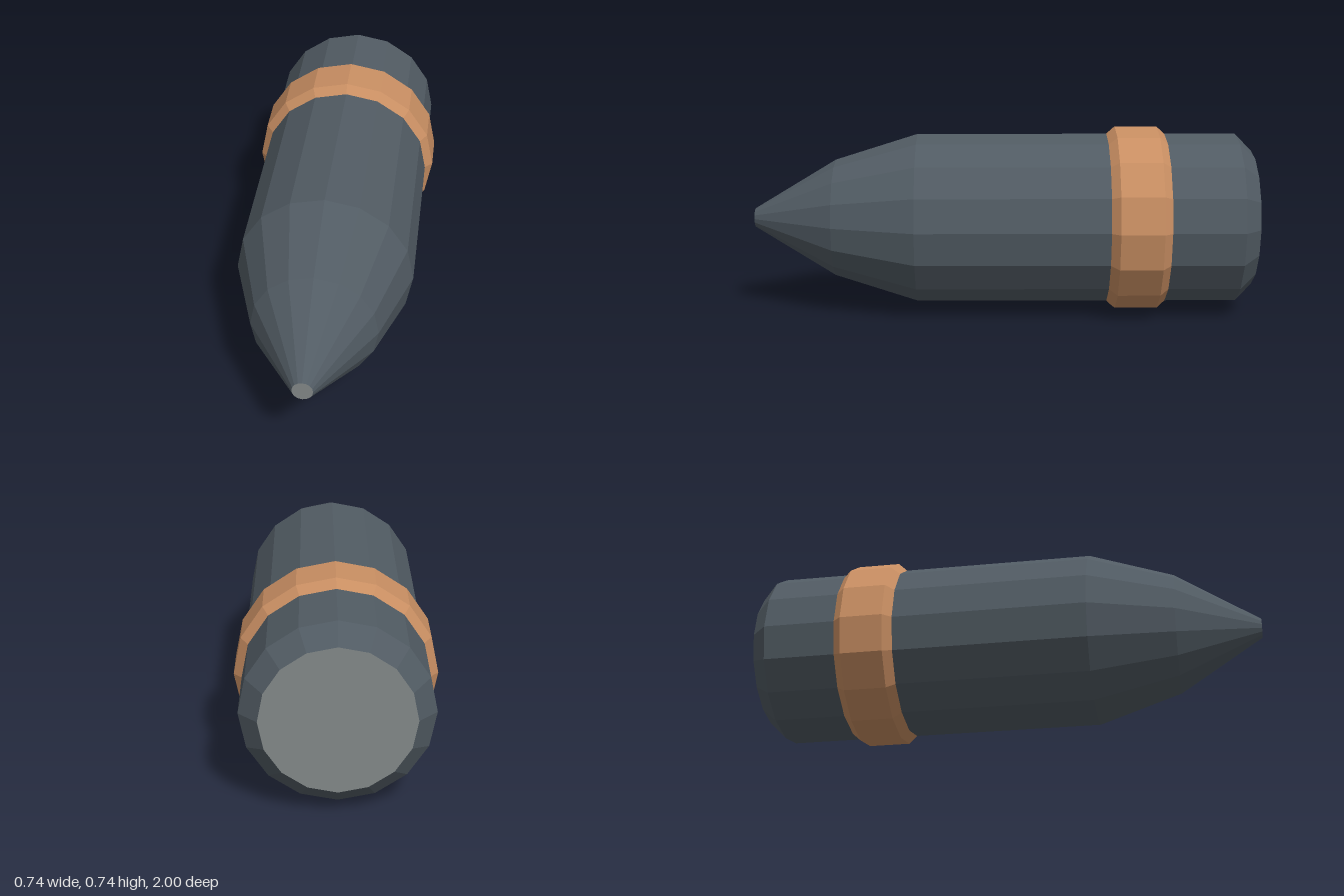
import * as THREE from 'three';

const SIDES = 16;
const AXIS_Y = 0.371;

const material = (name, color) => {
  const m = new THREE.MeshStandardMaterial({ color, flatShading: true });
  m.name = name;
  return m;
};

export function createModel() {
  const steel = material('dark steel', 0x515b63);
  const copper = material('copper', 0xc88e62);
  const grey = material('pale grey', 0x828888);
  const group = new THREE.Group();
  group.name = 'projectile';

  const add = (name, geometry, mat) => {
    const mesh = new THREE.Mesh(geometry, mat);
    mesh.name = name;
    mesh.position.y = AXIS_Y;
    group.add(mesh);
    return mesh;
  };

  // Faceted turned surface along z from [radius, z] pairs, back to front
  const turned = (profile) =>
    new THREE.LatheGeometry(profile.map(([r, z]) => new THREE.Vector2(r, z)), SIDES)
      .rotateX(Math.PI / 2);

  // Flat disc closing one end; dir is +1 for front, -1 for back
  const cap = (name, radius, dir) => {
    const disc = new THREE.CircleGeometry(radius, SIDES);
    if (dir < 0) disc.rotateY(Math.PI);
    add(name, disc, grey).position.z = dir;
  };

  // Body with chamfered base and two-step tapering nose
  add('body', turned([
    [0.273, -1], [0.341, -0.933], [0.341, 0.34], [0.237, 0.67], [0.038, 1],
  ]), steel);

  // Raised band with bevelled edges
  add('drivingBand', turned([
    [0.341, -0.65], [0.371, -0.617], [0.371, -0.45], [0.341, -0.417],
  ]), copper);

  cap('noseTip', 0.038, 1);
  cap('basePlate', 0.273, -1);

  return group;
}
